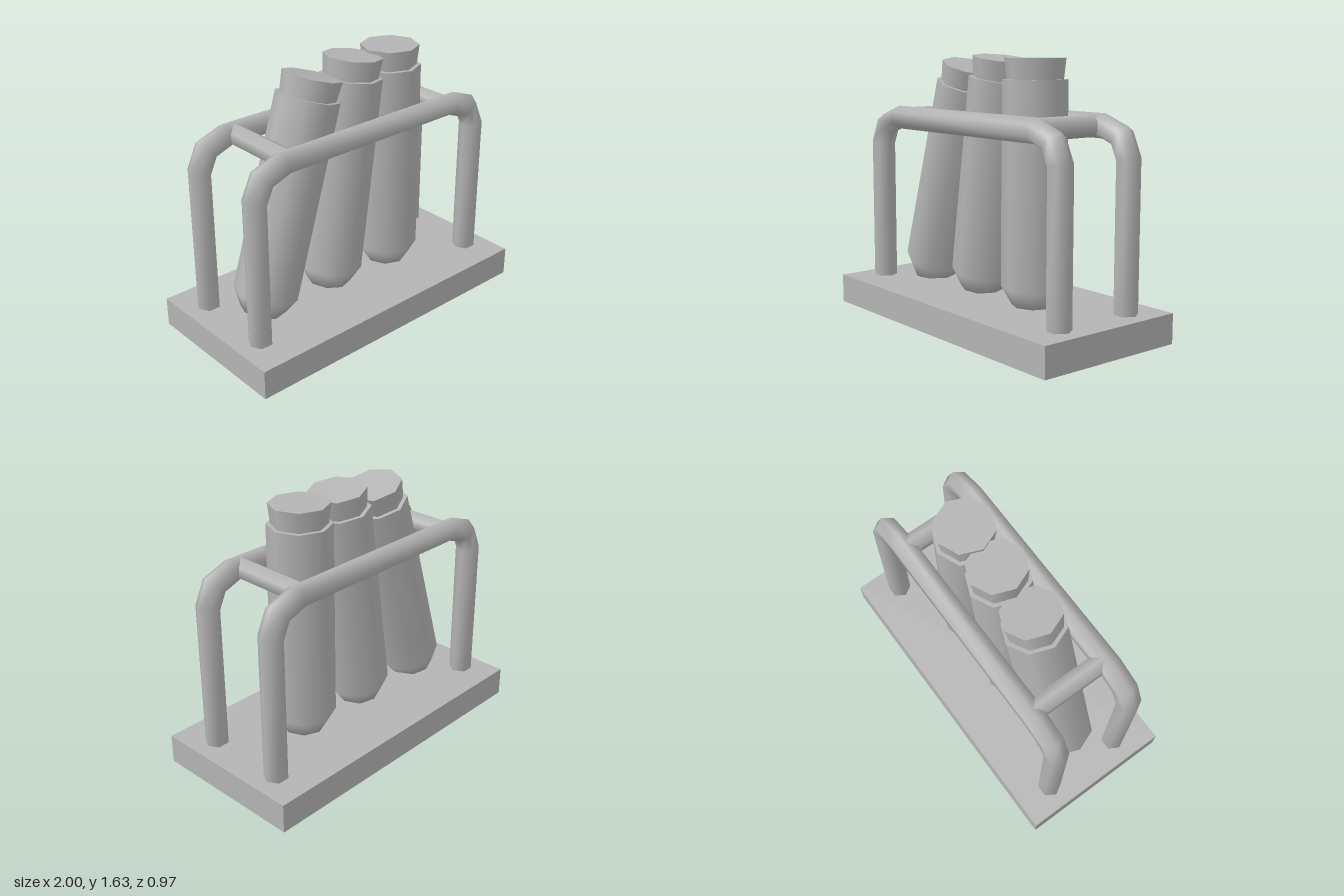
import * as THREE from 'three';

const grey = new THREE.MeshStandardMaterial({ color: 0xb4b4b4 });
grey.name = 'plain grey';

function part(name, geometry, parent) {
  const mesh = new THREE.Mesh(geometry, grey);
  mesh.name = name;
  parent.add(mesh);
  return mesh;
}

// Six-sided bar swept along a path in the xy plane, mitred at each bend
function sweepBar(path, radius, sides = 6) {
  const pos = [], index = [];
  const normal = (a, b) => new THREE.Vector2(a.y - b.y, b.x - a.x).normalize();
  path.forEach((p, i) => {
    const n0 = normal(path[Math.max(i - 1, 0)], path[Math.max(i, 1)]);
    const n1 = i < path.length - 1 ? normal(p, path[i + 1]) : n0;
    const n = n0.clone().add(n1).normalize();
    const w = radius / n.dot(n0);
    for (let j = 0; j < sides; j++) {
      const a = (j / sides) * Math.PI * 2;
      pos.push(p.x + n.x * w * Math.cos(a), p.y + n.y * w * Math.cos(a), radius * Math.sin(a));
      if (i === 0) continue;
      const k = (j + 1) % sides, lo = (i - 1) * sides, hi = i * sides;
      index.push(lo + j, lo + k, hi + k, lo + j, hi + k, hi + j);
    }
  });
  const g = new THREE.BufferGeometry();
  g.setAttribute('position', new THREE.Float32BufferAttribute(pos, 3));
  g.setIndex(index);
  g.computeVertexNormals();
  return g;
}

const lathe = (points) =>
  new THREE.LatheGeometry(points.map(([r, y]) => new THREE.Vector2(r, y)), 8);

// Stoppered tube standing on its own origin
function createTube(name) {
  const tube = new THREE.Group();
  tube.name = name;
  part('tubeBody', lathe([[0, 0], [0.13, 0], [0.194, 0.11], [0.188, 1.31]]), tube);
  part('tubeShoulder', lathe([[0.188, 1.31], [0, 1.31]]), tube);
  part('stopper', new THREE.CylinderGeometry(0.176, 0.163, 0.12, 8), tube).position.y = 1.37;
  return tube;
}

export function createModel() {
  const model = new THREE.Group();
  model.name = 'tubeRack';

  part('base', new THREE.BoxGeometry(2, 0.18, 0.97), model).position.y = 0.09;

  // Front and back rails with their legs
  const half = [[0.845, 0.17], [0.845, 1.06], [0.79, 1.18], [0.65, 1.23]];
  const path = [
    ...half.map(([x, y]) => new THREE.Vector2(-x, y)),
    ...half.slice().reverse().map(([x, y]) => new THREE.Vector2(x, y)),
  ];
  const rail = sweepBar(path, 0.072);
  part('frontRail', rail, model).position.z = 0.247;
  part('backRail', rail, model).position.z = -0.263;

  // Cross bars joining the rails
  for (const [name, x] of [['leftCrossBar', 0.605], ['rightCrossBar', -0.605]]) {
    const bar = part(name, new THREE.CylinderGeometry(0.064, 0.064, 0.5, 6), model);
    bar.rotation.x = Math.PI / 2;
    bar.position.set(x, 1.23, -0.008);
  }

  // Tubes leaning progressively: name, foot x, foot y, lean in degrees
  for (const [name, x, y, lean] of [
    ['uprightTube', 0.363, 0.18, 0],
    ['middleTube', -0.13, 0.19, 8],
    ['leaningTube', -0.648, 0.188, 16.8],
  ]) {
    const tube = createTube(name);
    tube.position.set(x, y, 0.003);
    tube.rotation.z = -THREE.MathUtils.degToRad(lean);
    model.add(tube);
  }
  return model;
}
